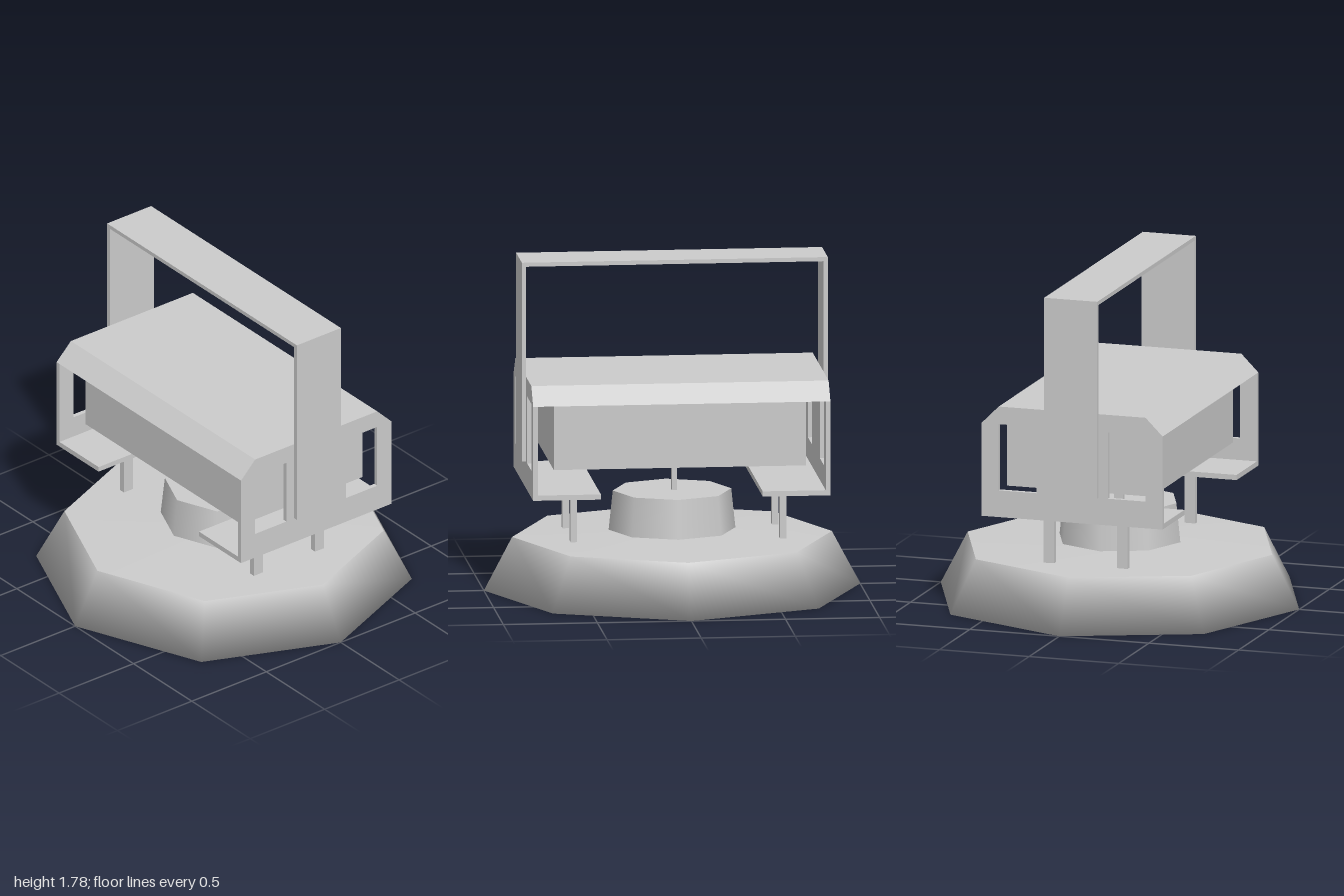
import * as THREE from 'three';

export function createModel() {
  const model = new THREE.Group();
  const material = new THREE.MeshStandardMaterial({ color: 0xcccccc });

  const add = (name, geometry, x = 0, y = 0, z = 0) => {
    const mesh = new THREE.Mesh(geometry, material);
    mesh.name = name;
    mesh.position.set(x, y, z);
    model.add(mesh);
    return mesh;
  };
  // Box given by its extents on each axis
  const box = (name, [x0, x1], [y0, y1], [z0, z1]) =>
    add(name, new THREE.BoxGeometry(x1 - x0, y1 - y0, z1 - z0),
      (x0 + x1) / 2, (y0 + y1) / 2, (z0 + z1) / 2);
  const points = (list) => list.map(([x, y]) => new THREE.Vector2(x, y));
  // Flat outline pushed along z between two depths
  const slab = (name, shape, z0, z1) =>
    add(name, new THREE.ExtrudeGeometry(shape, { depth: z1 - z0, bevelEnabled: false }), 0, 0, z0);

  // Eight-sided base with a slightly domed top
  add('base', new THREE.LatheGeometry(points([[0, 0], [1, 0], [0.85, 0.285]]), 8));
  add('baseTop', new THREE.LatheGeometry(points([[0.85, 0.285], [0, 0.315]]), 8));

  // Drum and the post that carries the core
  add('drum', new THREE.CylinderGeometry(0.315, 0.337, 0.21, 8), 0, 0.42, 0);
  box('centrePost', [-0.025, 0.025], [0.525, 0.715], [-0.025, 0.003]);

  // Core block under a chamfered roof
  box('core', [-0.405, 0.405], [0.715, 1.076], [-0.67, 0.67]);
  slab('roof', new THREE.Shape(points([
    [-0.505, 1.075], [0.505, 1.075], [0.41, 1.17], [-0.41, 1.17],
  ])), -0.79, 0.79);

  // End plate outline with two windows
  const plate = new THREE.Shape(points([
    [-0.505, 0.57], [0.505, 0.57], [0.505, 1.075], [-0.505, 1.075],
  ]));
  for (const [x0, x1] of [[-0.41, -0.2], [0.2, 0.41]]) {
    plate.holes.push(new THREE.Path(points([
      [x0, 0.715], [x0, 1.0745], [x1, 1.0745], [x1, 0.715],
    ])));
  }

  // Parts repeated at front and back
  for (const side of [1, -1]) {
    const end = side > 0 ? 'front' : 'back';
    const span = (a, b) => (side > 0 ? [a, b] : [-b, -a]);
    slab(end + 'Plate', plate, ...span(0.765, 0.79));
    box(end + 'Flange', [-0.505, 0.505], [0.57, 0.598], span(0.43, 0.766));
    box(end + 'HandleUpright', [-0.148, 0.148], [0.717, 1.785], span(0.79, 0.813));
    for (const x of [-0.21, 0.2]) {
      box(end + 'Leg', [x - 0.03, x + 0.03], [0.29, 0.572],
        side > 0 ? [0.528, 0.562] : [-0.584, -0.55]);
    }
  }
  box('handleTop', [-0.148, 0.148], [1.763, 1.785], [-0.791, 0.791]);

  return model;
}
